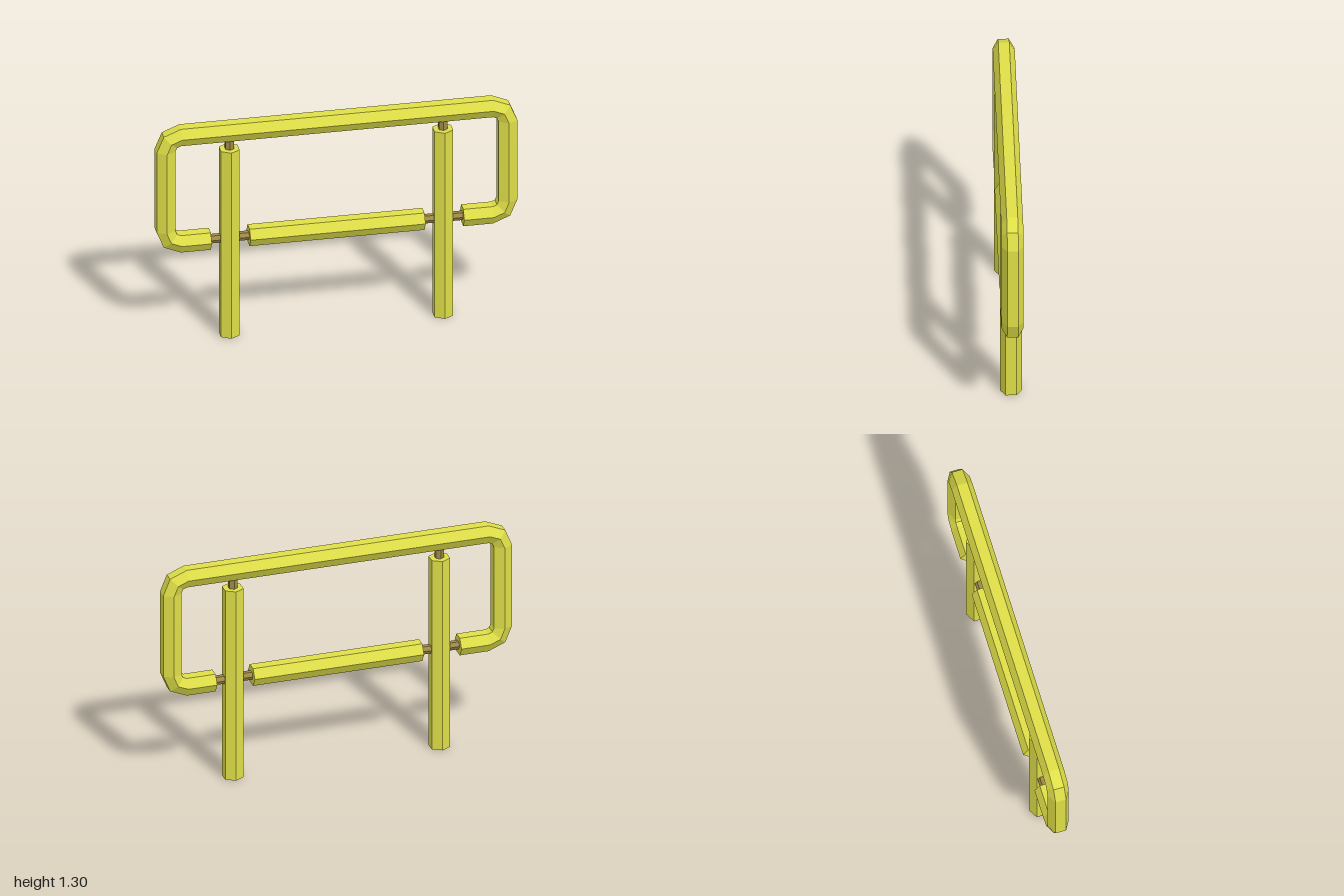
import * as THREE from 'three';

const SIDES = 6, R = 0.06, ROD = 0.026;
const BOTTOM = 0.597, TOP = 1.253, HALF = 0.948, BEND = 0.083;
const POST_X = 0.592, POST_H = 1.145;

const yellow = new THREE.MeshStandardMaterial({ color: 0xdede48, flatShading: true });
const bronze = new THREE.MeshStandardMaterial({ color: 0xa08a48, flatShading: true });

// Hexagonal bar with a ridge facing front and back
function bar(name, radius, length, x, y, material, horizontal = false) {
  const mesh = new THREE.Mesh(new THREE.CylinderGeometry(radius, radius, length, SIDES), material);
  if (horizontal) mesh.rotation.z = Math.PI / 2;
  mesh.position.set(x, y, 0);
  mesh.name = name;
  return mesh;
}

// Sweep a hexagon along stations { x, y, a }, where a is the outward angle in the xy plane
function sweepHex(stations) {
  const pos = [], index = [];
  for (const { x, y, a } of stations) {
    for (let j = 0; j < SIDES; j++) {
      const t = ((j + 0.5) / SIDES) * Math.PI * 2;
      const out = R * Math.cos(t);
      pos.push(x + out * Math.cos(a), y + out * Math.sin(a), R * Math.sin(t));
    }
  }
  const last = (stations.length - 1) * SIDES;
  for (let i = 0; i < last; i += SIDES) {
    for (let j = 0; j < SIDES; j++) {
      const k = (j + 1) % SIDES;
      index.push(i + j, i + SIDES + j, i + k, i + SIDES + j, i + SIDES + k, i + k);
    }
  }
  // End caps
  for (let j = 1; j < SIDES - 1; j++) {
    index.push(0, j, j + 1, last, last + j + 1, last + j);
  }
  const geo = new THREE.BufferGeometry();
  geo.setAttribute('position', new THREE.Float32BufferAttribute(pos, 3));
  geo.setIndex(index);
  const flat = geo.toNonIndexed();
  flat.computeVertexNormals();
  return flat;
}

export function createModel() {
  const model = new THREE.Group();
  model.name = 'barrier';

  // Open loop: stub, four two-step bends, stub
  const stations = [{ x: 0.7, y: BOTTOM, a: -Math.PI / 2 }];
  const cx = HALF - BEND;
  [[cx, BOTTOM + BEND], [cx, TOP - BEND], [-cx, TOP - BEND], [-cx, BOTTOM + BEND]].forEach(([x, y], corner) => {
    for (let s = 0; s <= 2; s++) {
      const a = (corner - 1) * Math.PI / 2 + s * Math.PI / 4;
      stations.push({ x: x + BEND * Math.cos(a), y: y + BEND * Math.sin(a), a });
    }
  });
  stations.push({ x: -0.7, y: BOTTOM, a: Math.PI * 1.5 });
  const loop = new THREE.Mesh(sweepHex(stations), yellow);
  loop.name = 'railLoop';
  model.add(loop);

  // Lower rail between the posts
  model.add(bar('lowerRail', R, 0.97, 0, BOTTOM, yellow, true));

  // Posts with their connecting pins
  for (const [side, s] of [['left', 1], ['right', -1]]) {
    const x = s * POST_X;
    model.add(
      bar(side + 'Post', R, POST_H, x, POST_H / 2, yellow),
      bar(side + 'TopPin', ROD, 0.1, x, 1.17, bronze),
      bar(side + 'CrossPin', ROD, 0.24, x, BOTTOM, bronze, true)
    );
  }
  return model;
}
